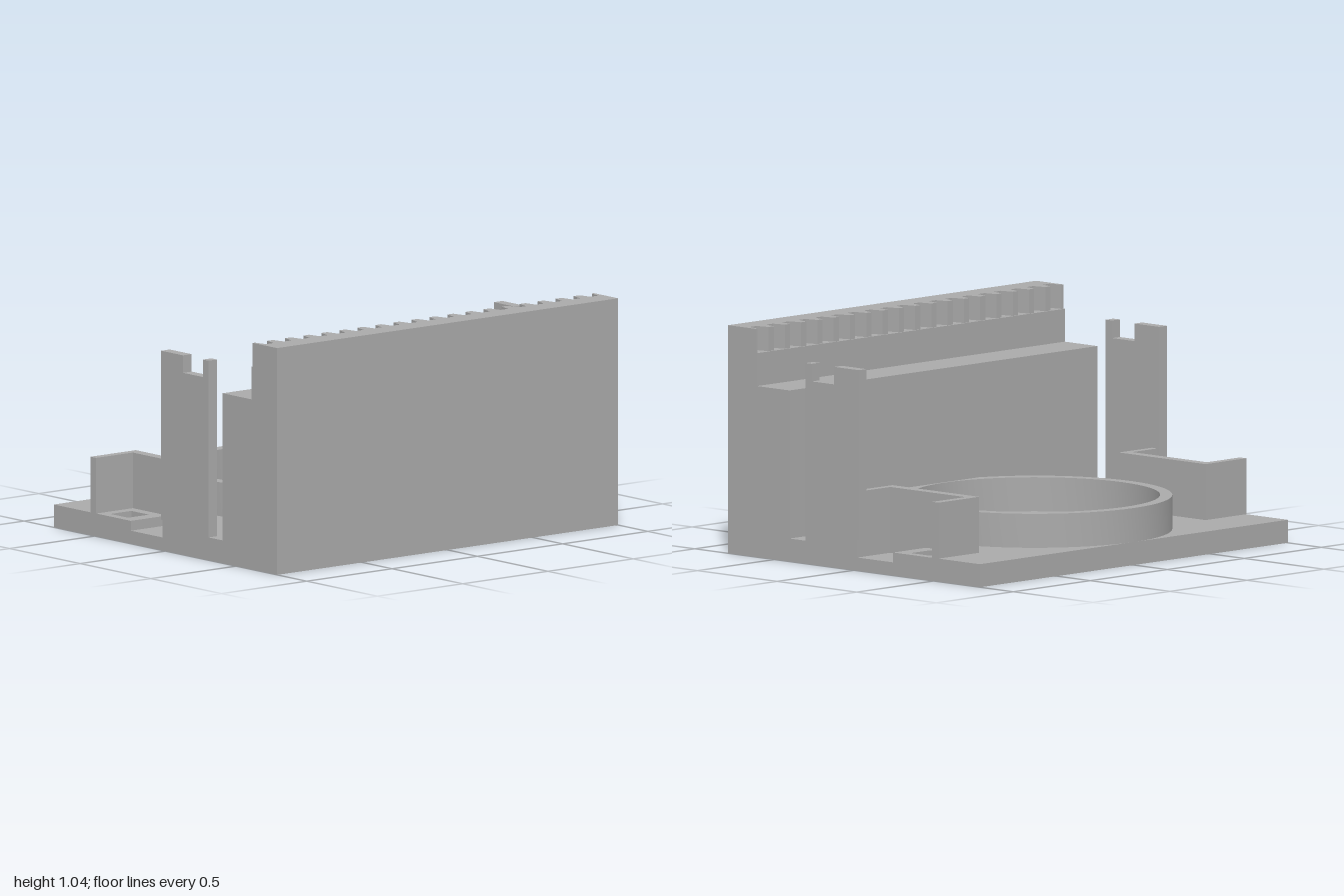
import * as THREE from 'three';
import { toCreasedNormals } from 'three/addons/utils/BufferGeometryUtils.js';

const CZ = -0.17;            // centre of the round seat
const SLOT_NEAR = 0.215, SLOT_FAR = 0.262, SLOT_R = 0.05, DISC_R = 0.2;

export function createModel() {
  const model = new THREE.Group();
  const grey = new THREE.MeshStandardMaterial({ color: 0xaaaaaa });
  grey.name = 'plain grey';

  const add = (name, geometry) => {
    const mesh = new THREE.Mesh(geometry, grey);
    mesh.name = name;
    model.add(mesh);
    return mesh;
  };
  const poly = (points, Type = THREE.Shape) => new Type(points.map(([a, b]) => new THREE.Vector2(a, b)));
  const rect = (x0, z0, x1, z1) => poly([[x0, z0], [x1, z0], [x1, z1], [x0, z1]], THREE.Path);
  const extrude = (shape, depth) =>
    new THREE.ExtrudeGeometry(shape, { depth, bevelEnabled: false, curveSegments: 32 });
  // plan outline (x, z) raised from y0 to y1
  const slab = (name, shape, y0, y1) =>
    add(name, toCreasedNormals(extrude(shape, y1 - y0).rotateX(Math.PI / 2).translate(0, y1, 0), 0.5));
  // side profile (z, y) running from x0 to x1
  const beam = (name, points, x0, x1) =>
    add(name, extrude(poly(points), x1 - x0).rotateY(-Math.PI / 2).translate(x1, 0, 0));
  const box = (name, x0, x1, y0, y1, z0, z1) =>
    add(name, new THREE.BoxGeometry(Math.abs(x1 - x0), y1 - y0, z1 - z0)
      .translate((x0 + x1) / 2, (y0 + y1) / 2, (z0 + z1) / 2));
  const circle = (r) => new THREE.Path().absarc(0, CZ, r, 0, Math.PI * 2);

  // rounded slot on a diagonal
  const slot = (a) => {
    const c = Math.cos(a), s = Math.sin(a), q = Math.PI / 2;
    return new THREE.Path()
      .absarc(SLOT_FAR * c, CZ + SLOT_FAR * s, SLOT_R, a - q, a + q)
      .absarc(SLOT_NEAR * c, CZ + SLOT_NEAR * s, SLOT_R, a + q, a + 3 * q);
  };
  const diagonals = [1, 3, 5, 7].map((k) => (k * Math.PI) / 4);

  // shallow disc recess merged with the four slots
  const recess = () => {
    const path = new THREE.Path(), q = Math.PI / 2;
    const px = (DISC_R ** 2 + SLOT_NEAR ** 2 - SLOT_R ** 2) / (2 * SLOT_NEAR);
    const py = Math.sqrt(DISC_R ** 2 - px ** 2);
    const half = Math.atan2(py, px), lip = Math.atan2(py, px - SLOT_NEAR);
    for (const a of diagonals) {
      const c = Math.cos(a), s = Math.sin(a);
      path.absarc(SLOT_NEAR * c, CZ + SLOT_NEAR * s, SLOT_R, a - lip, a - q);
      path.absarc(SLOT_FAR * c, CZ + SLOT_FAR * s, SLOT_R, a - q, a + q);
      path.absarc(SLOT_NEAR * c, CZ + SLOT_NEAR * s, SLOT_R, a + q, a + lip);
      path.absarc(0, CZ, DISC_R, a + half, a + q - half);
    }
    return path;
  };

  // base plate in three layers: solid, side pockets, pockets plus recess
  const plate = (pockets, recessed) => {
    const shape = poly(pockets
      ? [[-1, -0.79], [1, -0.79], [1, -0.245], [0.785, -0.245], [0.785, -0.02], [1, -0.02], [1, 0.79],
        [-1, 0.79], [-1, -0.02], [-0.785, -0.02], [-0.785, -0.245], [-1, -0.245]]
      : [[-1, -0.79], [1, -0.79], [1, 0.79], [-1, 0.79]]);
    shape.holes.push(rect(-0.22, -0.675, 0.22, -0.41));
    shape.holes.push(rect(0.835, -0.44, 0.958, -0.315), rect(-0.958, -0.44, -0.835, -0.315));
    if (recessed) shape.holes.push(recess());
    else shape.holes.push(circle(0.083), ...diagonals.map(slot));
    return shape;
  };
  slab('basePlateBottom', plate(false, false), 0, 0.06);
  slab('basePlateMiddle', plate(true, false), 0.06, 0.085);
  slab('basePlateTop', plate(true, true), 0.085, 0.105);

  // round seat wall
  const ring = new THREE.Shape().absarc(0, CZ, 0.62, 0, Math.PI * 2);
  ring.holes.push(circle(0.565));
  slab('ringWall', ring, 0.105, 0.26);

  // stepped front block
  beam('frontBlock', [[0.405, 0.105], [0.79, 0.105], [0.79, 0.93], [0.61, 0.93], [0.61, 0.78], [0.405, 0.78]], -1, 1);

  // toothed rack along the top of the block
  const rack = [[1, 0.79], [-1, 0.79], [-1, 0.618]];
  const pitch = 0.1057;
  for (let i = -9; i <= 9; i++) {
    const x = i * pitch;
    rack.push([x - 0.036, 0.618], [x - 0.022, 0.68], [x + 0.022, 0.68], [x + 0.036, 0.618]);
  }
  rack.push([1, 0.618]);
  slab('toothedRack', poly(rack), 0.93, 1.04);

  // notched posts and corner brackets on both sides
  const post = [[-0.02, 0.105], [0.305, 0.105], [0.305, 0.915], [0.265, 0.915], [0.265, 0.835],
    [0.125, 0.835], [0.125, 0.915], [-0.03, 0.915], [-0.03, 0.14], [-0.02, 0.14]];
  for (const [side, s] of [['left', 1], ['right', -1]]) {
    beam(side + 'Post', post, s > 0 ? 0.95 : -1, s > 0 ? 1 : -0.95);
    box(side + 'BracketInnerWall', s * 0.735, s * 0.785, 0.105, 0.36, -0.53, 0.015);
    box(side + 'BracketBackWall', s * 0.785, s, 0.105, 0.36, -0.53, -0.49);
    box(side + 'BracketFrontWall', s * 0.785, s * 0.95, 0.105, 0.36, -0.02, 0.015);
  }
  return model;
}
